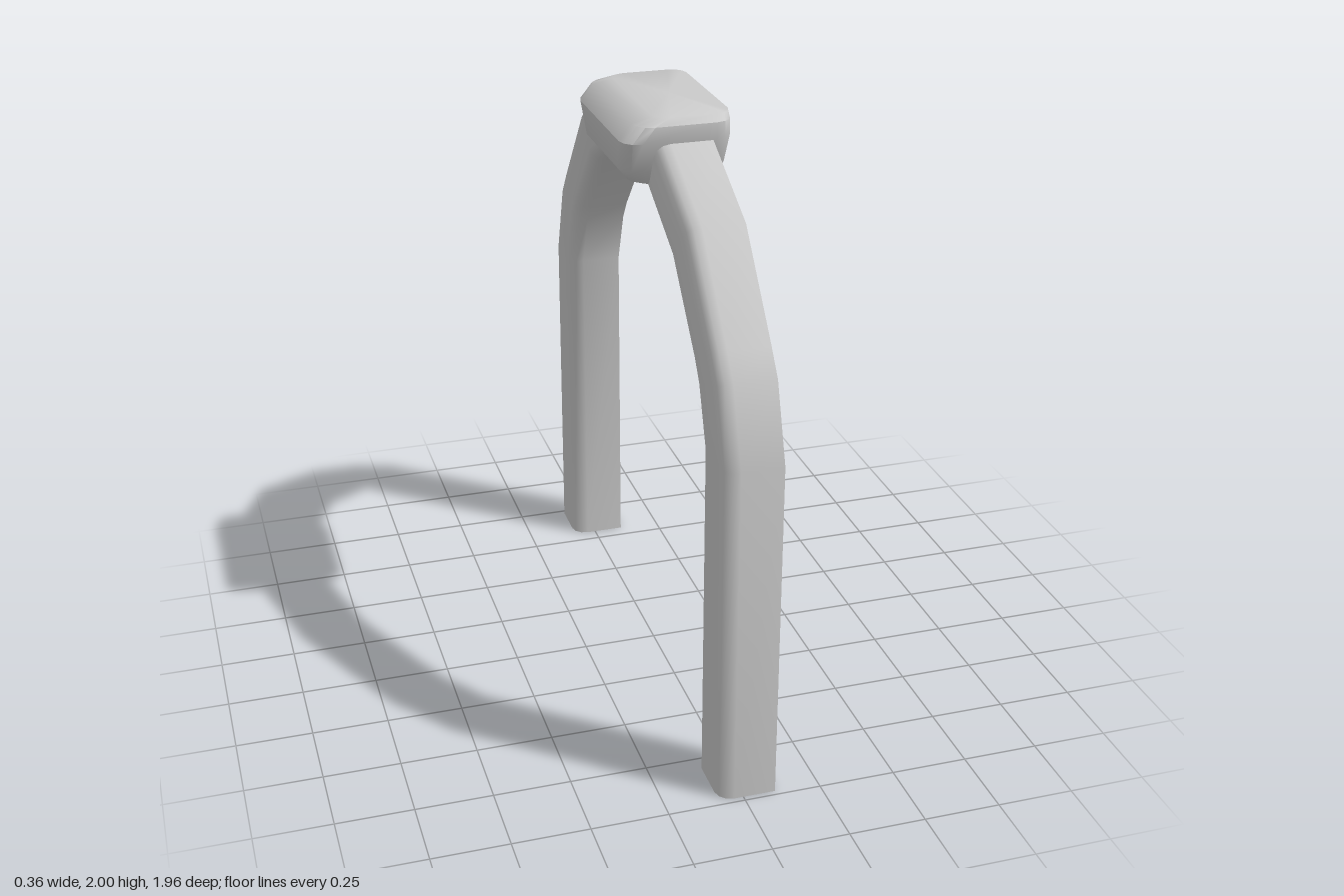
import * as THREE from 'three';
import { toCreasedNormals } from 'three/addons/utils/BufferGeometryUtils.js';

// Skin a stack of closed rings (counter-clockwise about the travel direction) and cap both ends
function loft(rings) {
  const pos = [];
  const tri = (...pts) => pts.forEach(p => pos.push(p.x, p.y, p.z));
  const n = rings[0].length;
  for (let i = 0; i < rings.length - 1; i++) {
    for (let j = 0; j < n; j++) {
      const k = (j + 1) % n;
      const a = rings[i][j], b = rings[i][k], c = rings[i + 1][k], d = rings[i + 1][j];
      tri(a, b, c);
      tri(a, c, d);
    }
  }
  const cap = (ring, flip) => {
    const mid = ring.reduce((s, p) => s.add(p), new THREE.Vector3()).divideScalar(n);
    ring.forEach((p, j) => {
      const q = ring[(j + 1) % n];
      flip ? tri(mid, q, p) : tri(mid, p, q);
    });
  };
  cap(rings[0], true);
  cap(rings[rings.length - 1], false);
  const g = new THREE.BufferGeometry();
  g.setAttribute('position', new THREE.Float32BufferAttribute(pos, 3));
  return toCreasedNormals(g, 0.75);
}

// Quarter-round corner, swept clockwise from a start angle in degrees
function corner(cx, cy, rx, ry, start, steps = 3) {
  const pts = [];
  for (let i = 0; i <= steps; i++) {
    const a = THREE.MathUtils.degToRad(start - (90 * i) / steps);
    pts.push([cx + rx * Math.cos(a), cy + ry * Math.sin(a)]);
  }
  return pts;
}

// Leg section: x across, t from inner (0) to outer (1) side; two opposite corners rounded
const legSection = [
  [0.105, 1],
  ...corner(0.055, 0.28, 0.05, 0.28, 0),
  [-0.08, 0],
  ...corner(-0.03, 0.72, 0.05, 0.28, 180),
];

// Leg stations: outer z, outer y, inner z, inner y
const legPath = [
  [0.982, 0, 0.803, 0],
  [0.982, 1.145, 0.803, 1.145],
  [0.9, 1.39, 0.735, 1.33],
  [0.84, 1.47, 0.69, 1.395],
  [0.597, 1.763, 0.47, 1.64],
  [0.285, 1.925, 0.21, 1.775],
  [0.12, 1.96, 0.1, 1.82],
];

// Crown levels: y, min x, max x, half depth, corner radius
const crownLevels = [
  [1.765, -0.08, 0.11, 0.19, 0.04],
  [1.785, -0.135, 0.15, 0.22, 0.05],
  [1.83, -0.172, 0.172, 0.242, 0.06],
  [1.93, -0.18, 0.175, 0.288, 0.06],
  [1.98, -0.14, 0.175, 0.287, 0.06],
  [2.0, -0.075, 0.175, 0.26, 0.05],
];

export function createModel() {
  const model = new THREE.Group();
  model.name = 'archHandle';
  const material = new THREE.MeshStandardMaterial({ color: 0xcccccc });
  const add = (name, geometry) => {
    const mesh = new THREE.Mesh(geometry, material);
    mesh.name = name;
    model.add(mesh);
    return mesh;
  };

  // Two curved legs, the rear one turned half round
  const leg = loft(legPath.map(([oz, oy, iz, iy]) => legSection.map(([x, t]) =>
    new THREE.Vector3(x, iy + (oy - iy) * t, iz + (oz - iz) * t))));
  add('frontLeg', leg);
  const back = add('backLeg', leg);
  back.rotation.y = Math.PI;
  back.position.x = 0.025;

  // Rounded crown block with a sharp upper edge on its left side
  add('crownBlock', loft(crownLevels.map(([y, x0, x1, z, r]) => [
    ...corner(x1 - r, z - r, r, r, 90),
    ...corner(x1 - r, r - z, r, r, 0),
    ...corner(x0 + r, r - z, r, r, -90),
    ...corner(x0 + r, z - r, r, r, 180),
  ].map(([x, d]) => new THREE.Vector3(x, y, d)))));

  return model;
}
